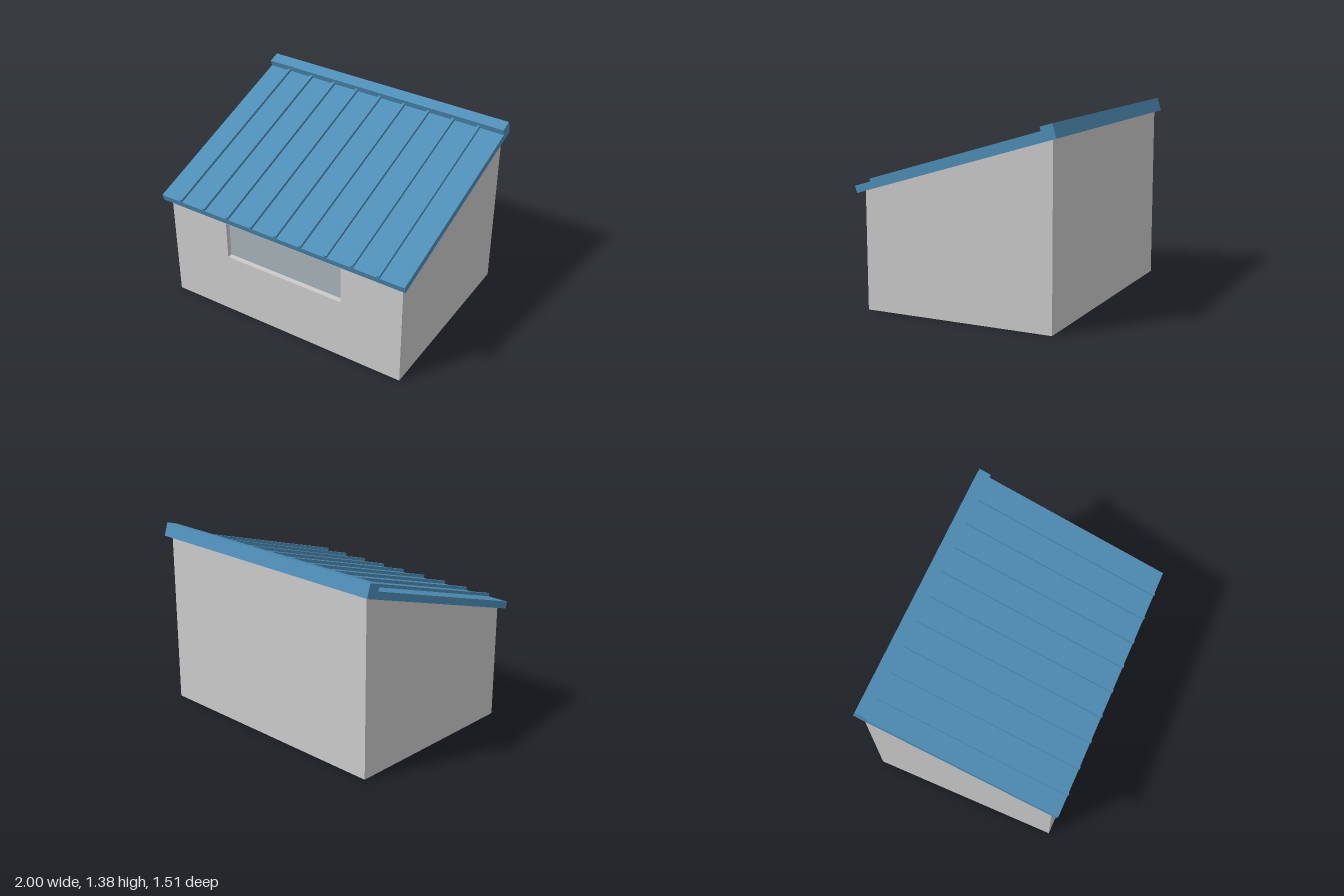
import * as THREE from 'three';

const grey = new THREE.MeshStandardMaterial({ color: 0xcccccc });
const blue = new THREE.MeshStandardMaterial({ color: 0x4f8fb8 });
const glass = new THREE.MeshStandardMaterial({ color: 0xa8b2b7 });

function add(parent, name, geometry, material, x = 0, y = 0, z = 0) {
  const mesh = new THREE.Mesh(geometry, material);
  mesh.name = name;
  mesh.position.set(x, y, z);
  parent.add(mesh);
  return mesh;
}

function roundedRect(x0, y0, x1, y1, r) {
  const p = new THREE.Path();
  p.moveTo(x0 + r, y0);
  p.lineTo(x1 - r, y0);
  p.absarc(x1 - r, y0 + r, r, -Math.PI / 2, 0);
  p.absarc(x1 - r, y1 - r, r, 0, Math.PI / 2);
  p.absarc(x0 + r, y1 - r, r, Math.PI / 2, Math.PI);
  p.absarc(x0 + r, y0 + r, r, Math.PI, Math.PI * 1.5);
  return p;
}

export function createModel() {
  const model = new THREE.Group();
  const halfWidth = 0.96, front = 0.69, back = -0.715, recess = 0.04;

  // Roof line: lower front corner of the underside and pitch
  const eaveY = 0.83, eaveZ = 0.735, rise = 0.455, run = 1.49;
  const underside = (z) => eaveY + (eaveZ - z) * rise / run;

  // Main body: side profile swept across the width (shape x runs towards -z)
  const inner = front - recess;
  const side = new THREE.Shape([
    new THREE.Vector2(-inner, 0),
    new THREE.Vector2(-back, 0),
    new THREE.Vector2(-back, underside(back)),
    new THREE.Vector2(-inner, underside(inner)),
  ]);
  const bodyGeo = new THREE.ExtrudeGeometry(side, { depth: halfWidth * 2, bevelEnabled: false });
  bodyGeo.rotateY(Math.PI / 2);
  add(model, 'body', bodyGeo, grey, -halfWidth);

  // Front wall with the window opening; its top meets the roof underside
  const wall = new THREE.Shape([
    new THREE.Vector2(-halfWidth, 0),
    new THREE.Vector2(halfWidth, 0),
    new THREE.Vector2(halfWidth, underside(inner)),
    new THREE.Vector2(-halfWidth, underside(inner)),
  ]);
  wall.holes.push(roundedRect(-0.48, 0.49, 0.48, 0.785, 0.01));
  add(model, 'frontWall', new THREE.ExtrudeGeometry(wall, { depth: recess, bevelEnabled: false, curveSegments: 5 }),
    grey, 0, 0, inner);
  add(model, 'windowPane', new THREE.BoxGeometry(0.97, 0.305, 0.01), glass, 0, 0.6375, inner - 0.002);

  // Roof, built flat from the eave towards -z and then tilted
  const roof = new THREE.Group();
  roof.name = 'roof';
  roof.position.set(0, eaveY, eaveZ);
  roof.rotation.x = Math.atan2(rise, run);
  model.add(roof);

  const length = Math.hypot(rise, run), capDepth = 0.09, sheet = 0.052;
  const sheetLength = length - capDepth;
  add(roof, 'roofSheet', new THREE.BoxGeometry(2, sheet, sheetLength), blue, 0, sheet / 2, -sheetLength / 2);
  add(roof, 'ridgeCap', new THREE.BoxGeometry(2, 0.1, capDepth), blue, 0, 0.05, -length + capDepth / 2);

  // Standing seams
  const seamGeo = new THREE.BoxGeometry(0.02, 0.022, sheetLength);
  for (let i = 0; i < 9; i++) {
    add(roof, 'roofSeam', seamGeo, blue, -0.828 + i * 0.204, sheet + 0.011, -sheetLength / 2);
  }
  return model;
}
